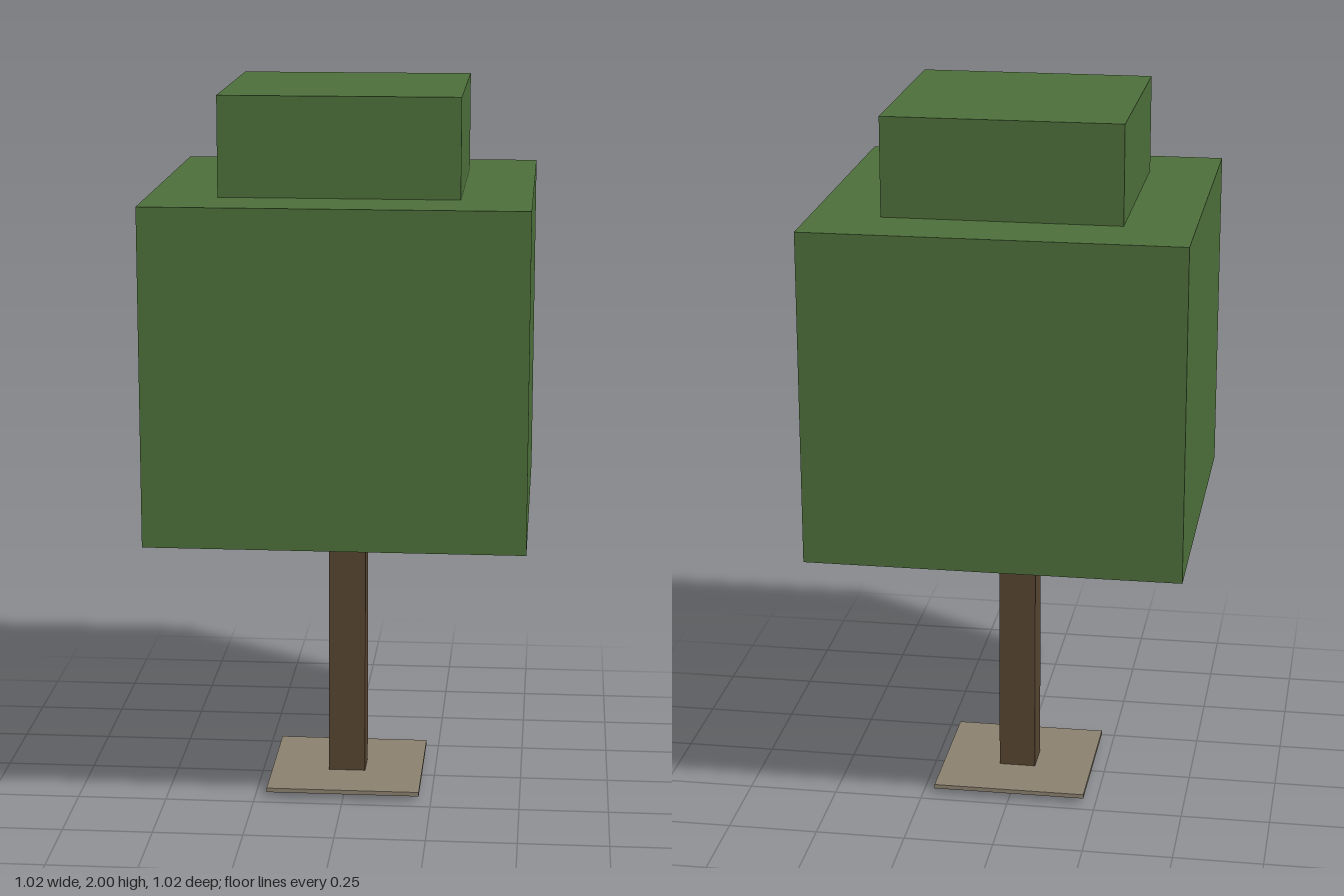
import * as THREE from 'three';

const material = (name, color) => {
  const m = new THREE.MeshStandardMaterial({ color });
  m.name = name;
  return m;
};

export function createModel() {
  const leaf = material('leaf green', 0x4e703b);
  const bark = material('bark brown', 0x584632);
  const stone = material('stone grey', 0x8c8270);

  const tree = new THREE.Group();
  tree.name = 'tree';

  // Square block of the given width, spanning bottom to top
  const block = (name, width, bottom, top, mat) => {
    const mesh = new THREE.Mesh(new THREE.BoxGeometry(width, top - bottom, width), mat);
    mesh.name = name;
    mesh.position.y = (bottom + top) / 2;
    tree.add(mesh);
  };

  block('trunk', 0.104, 0, 0.83, bark);
  block('basePlate', 0.432, 0.017, 0.029, stone);
  block('canopy', 1.024, 0.815, 1.73, leaf);
  block('crown', 0.646, 1.72, 2, leaf);

  return tree;
}
